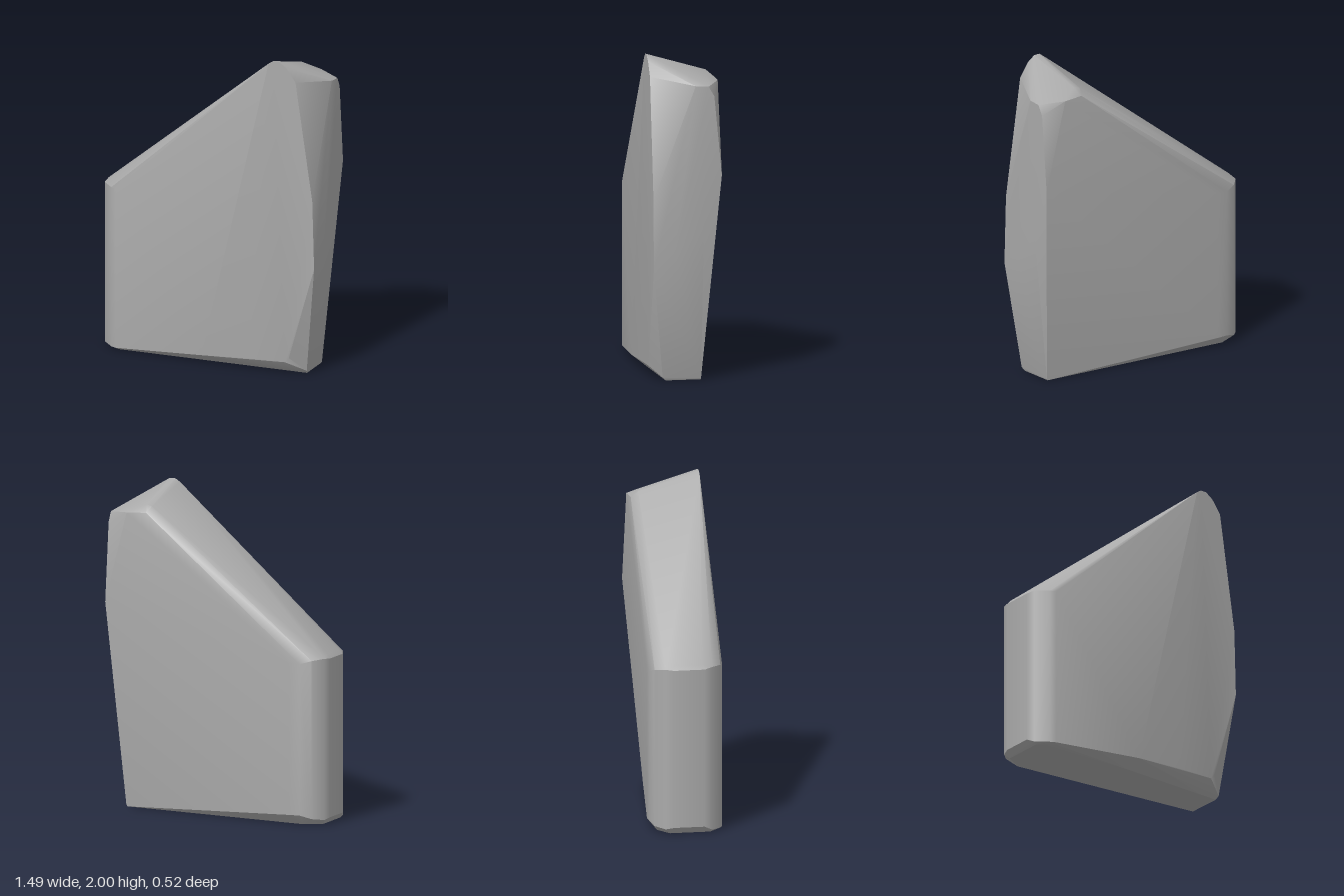
import * as THREE from 'three';
import { ConvexGeometry } from 'three/addons/geometries/ConvexGeometry.js';
import { toCreasedNormals } from 'three/addons/utils/BufferGeometryUtils.js';

const stone = new THREE.MeshStandardMaterial({ color: 0xaaaaaa });
stone.name = 'grey stone';

// Corner points of the slab, grouped by region: [x, y, z]
const peak = [
  [0.43, 1.98, 0.26], [0.46, 2, 0.26], [0.5, 2, 0.26], [0.55, 1.965, 0.26], [0.61, 1.88, 0.26],
  [0.45, 1.885, -0.12], [0.49, 1.895, -0.11], [0.47, 1.85, -0.162], [0.6, 1.845, -0.164],
];
const rightSide = [
  [0.74, 1.835, 0], [0.742, 1.83, -0.08], [0.742, 1.77, -0.115], [0.744, 1.28, -0.162],
  [0.745, 0.95, -0.05], [0.742, 0.8, 0.13],
  [0.722, 1.13, 0.26], [0.734, 0.7, 0.26],
];
const base = [
  [-0.02, 0.055, 0.256], [0.3, 0.075, 0.26], [0.54, 0.08, 0.26], [0.565, 0.11, 0.26],
  [0.655, 0.02, 0.19], [0.648, 0, 0.17], [0.652, 0.01, -0.05], [0.645, 0, -0.05],
  [-0.6, 0, 0.18], [-0.71, 0, 0.1], [-0.71, 0, -0.15], [-0.6, 0, -0.21],
];
// Rounded left end: [x, z, top y, bottom y]
const leftEnd = [
  [-0.62, 0.192, 1.03, 0.01], [-0.655, 0.175, 1.03, 0.01], [-0.725, 0.11, 1.035, 0.015],
  [-0.745, 0.06, 1.025, 0.04], [-0.745, -0.13, 1.025, 0.04], [-0.73, -0.18, 1.03, 0.03],
  [-0.67, -0.238, 1.02, 0.04], [-0.6, -0.258, 1.0, 0.06], [-0.53, -0.258, 1.0, 0.06],
].flatMap(([x, z, top, bottom]) => [[x, top, z], [x, bottom, z]]);
const slopeStart = [[-0.725, 1.05, 0.05], [-0.725, 1.05, -0.12], [-0.62, 1.05, -0.23]];

export function createModel() {
  const points = [...peak, ...rightSide, ...base, ...leftEnd, ...slopeStart]
    .map((p) => new THREE.Vector3(...p));
  const slab = new THREE.Mesh(toCreasedNormals(new ConvexGeometry(points), 0.55), stone);
  slab.name = 'stoneSlab';
  const group = new THREE.Group();
  group.name = 'rock';
  group.add(slab);
  return group;
}
